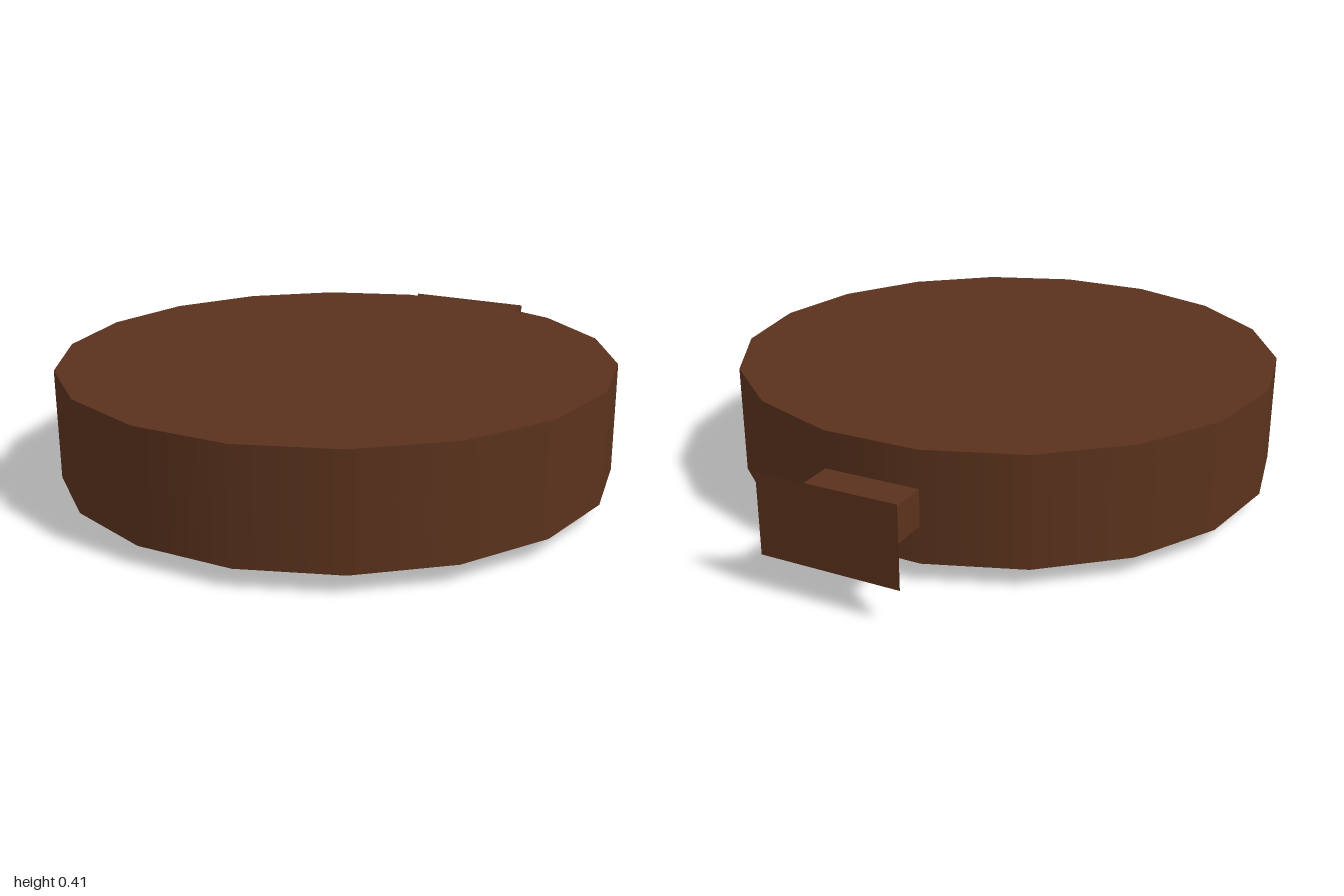
import * as THREE from 'three';

const brown = new THREE.MeshStandardMaterial({ color: 0x5a321c });
const black = new THREE.MeshStandardMaterial({ color: 0x0c0c0c });
const grey = new THREE.MeshStandardMaterial({ color: 0xcccccc });
const CZ = 0.115; // centre of the round case
const SIDES = 18;

export function createModel() {
  const model = new THREE.Group();

  function add(parent, name, geometry, material, x = 0, y = 0, z = 0) {
    const mesh = new THREE.Mesh(geometry, material);
    mesh.name = name;
    mesh.position.set(x, y, z);
    parent.add(mesh);
    return mesh;
  }

  // Box given by its extents
  function box(parent, name, material, [x0, x1], [y0, y1], [z0, z1]) {
    return add(parent, name, new THREE.BoxGeometry(x1 - x0, y1 - y0, z1 - z0), material,
      (x0 + x1) / 2, (y0 + y1) / 2, (z0 + z1) / 2);
  }

  // One lathed band between two profile points, so edges between bands stay sharp
  function band(parent, name, material, a, b) {
    const points = [new THREE.Vector2(...a), new THREE.Vector2(...b)];
    return add(parent, name, new THREE.LatheGeometry(points, SIDES, Math.PI / 18), material);
  }

  // Round case lying face down
  const clockCase = new THREE.Group();
  clockCase.name = 'case';
  clockCase.position.z = CZ;
  model.add(clockCase);
  band(clockCase, 'innerRim', brown, [0.81, 0.1], [0.81, 0.06]);
  band(clockCase, 'rim', brown, [0.81, 0.06], [0.897, 0.06]);
  band(clockCase, 'caseWall', brown, [0.897, 0.06], [0.897, 0.415]);
  band(clockCase, 'caseBack', brown, [0.897, 0.415], [0, 0.415]);
  band(clockCase, 'dial', grey, [0, 0.1], [0.81, 0.1]);

  // Quarter-hour markers
  for (let i = 0; i < 4; i++) {
    const angle = i * Math.PI / 2;
    const marker = add(clockCase, 'hourMarker', new THREE.BoxGeometry(0.05, 0.03, 0.11), black,
      0.73 * Math.sin(angle), 0.085, 0.73 * Math.cos(angle));
    marker.rotation.y = angle;
  }

  // Hands and their pin
  box(model, 'minuteHand', brown, [-0.053, 0.053], [0.03, 0.06], [-0.535, 0.125]);
  box(model, 'hourHand', brown, [-0.29, 0.05], [0.045, 0.07], [0.03, 0.09]);
  add(model, 'handPin', new THREE.CylinderGeometry(0.025, 0.025, 0.05, 8), brown, 0, 0.075, 0.06);
  add(model, 'handTab', new THREE.PlaneGeometry(0.08, 0.03), brown, 0, 0.015, 0.12);

  // Winding stem with a flared crown
  box(model, 'crownStem', brown, [-0.155, 0.155], [0.18, 0.295], [-0.915, -0.75]);
  const flare = new THREE.BoxGeometry(0.45, 0.255, 0.085);
  const p = flare.attributes.position;
  for (let i = 0; i < p.count; i++) {
    if (p.getZ(i) > 0) p.setXY(i, Math.sign(p.getX(i)) * 0.155, Math.sign(p.getY(i)) * 0.0575);
  }
  const crown = flare.toNonIndexed();
  crown.computeVertexNormals();
  add(model, 'crown', crown, brown, 0, 0.2375, -0.9575);

  return model;
}
